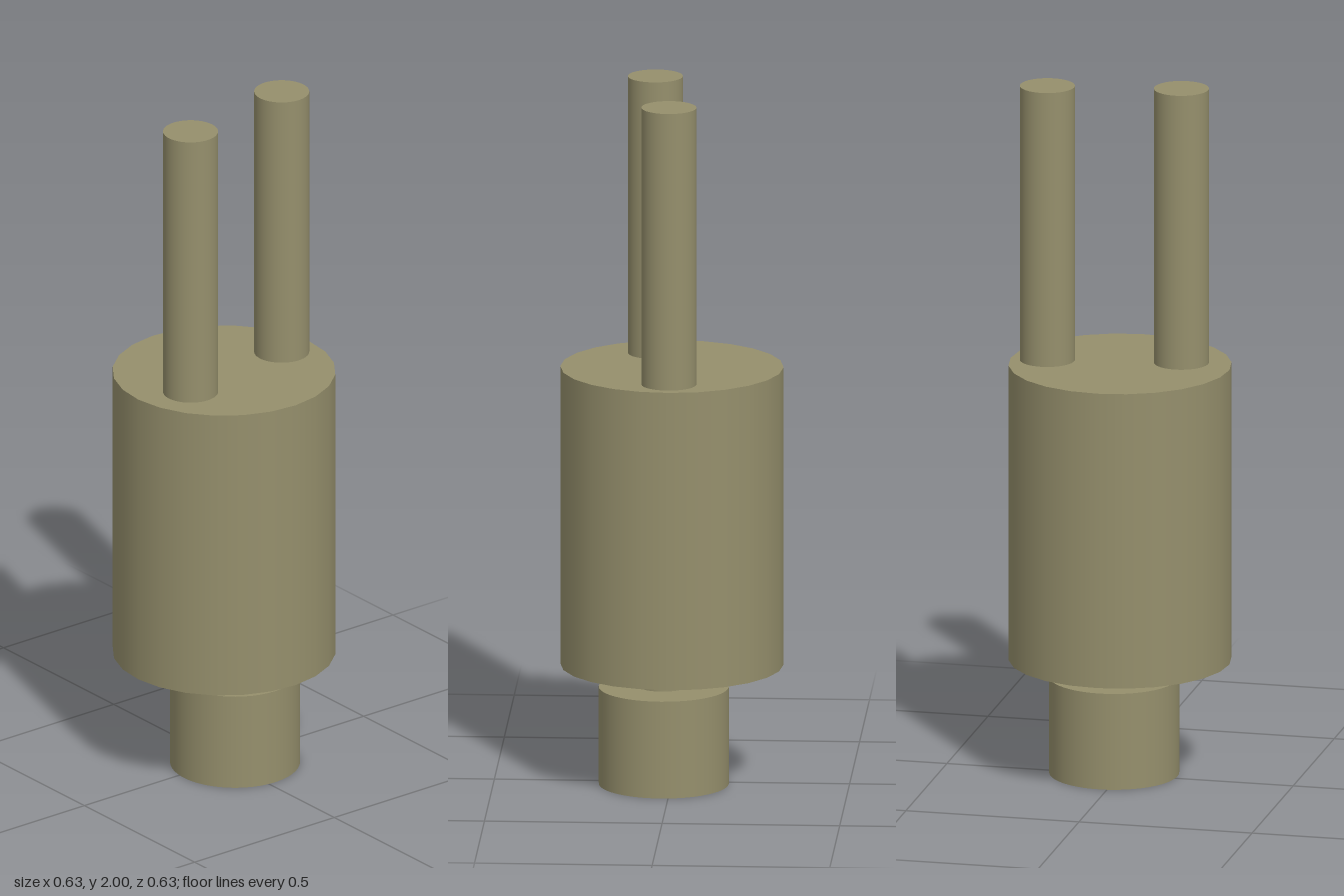
import * as THREE from 'three';

export function createModel() {
  const model = new THREE.Group();
  const material = new THREE.MeshStandardMaterial({ color: 0x958f6c });

  // Upright cylinder between two heights
  function addCylinder(name, radius, y0, y1, x, z, sides = 48, turn = 0) {
    const geometry = new THREE.CylinderGeometry(radius, radius, y1 - y0, sides, 1, false, turn);
    const mesh = new THREE.Mesh(geometry, material);
    mesh.name = name;
    mesh.position.set(x, (y0 + y1) / 2, z);
    model.add(mesh);
  }

  // Foot and narrow neck, slightly off the body's axis
  addCylinder('foot', 0.183, 0, 0.28, 0.022, 0.022);
  addCylinder('neck', 0.07, 0.28, 0.34, 0.015, 0.025);

  // Main body, turned slightly about its axis
  addCylinder('body', 0.314, 0.34, 1.2, 0, 0, 24, 0.03);

  // Two rods standing on the body
  addCylinder('leftRod', 0.0775, 1.2, 2, 0.209, -0.003);
  addCylinder('rightRod', 0.0775, 1.2, 2, -0.164, 0.056);

  return model;
}
